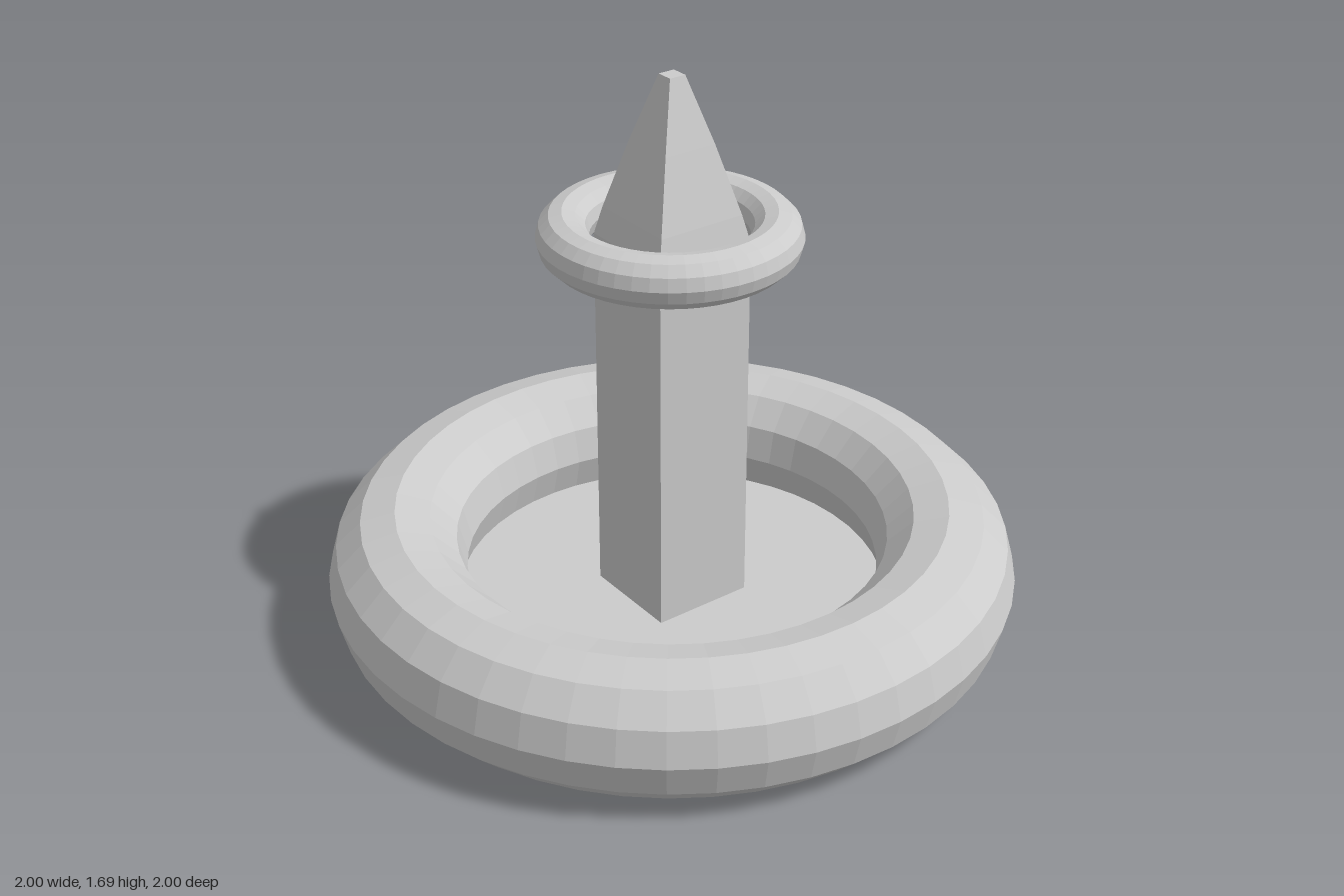
import * as THREE from 'three';

const material = new THREE.MeshStandardMaterial({ color: 0xcccccc, flatShading: true });
const sheetMaterial = new THREE.MeshStandardMaterial({ color: 0xcccccc, flatShading: true, side: THREE.DoubleSide });

function addPart(group, name, geometry, y, mat = material) {
  const mesh = new THREE.Mesh(geometry, mat);
  mesh.name = name;
  mesh.position.y = y;
  group.add(mesh);
  return mesh;
}

// Horizontal ring, tube a quarter of the main radius
function ringGeometry(radius) {
  return new THREE.TorusGeometry(radius, radius / 4, 12, 48).rotateX(Math.PI / 2);
}

// Square, slightly bulging spike: profile of [half width, height], revolved in four steps
function spikeGeometry(profile) {
  const points = profile.map(([half, y]) => new THREE.Vector2(half * Math.SQRT2, y));
  return new THREE.LatheGeometry(points, 4, Math.PI / 4);
}

export function createModel() {
  const model = new THREE.Group();
  model.name = 'ringPostBasin';

  // Base: fat ring closed by a thin floor
  addPart(model, 'baseRing', ringGeometry(0.8), 0.2);
  addPart(model, 'basinFloor', new THREE.CircleGeometry(0.64, 48).rotateX(-Math.PI / 2), 0.1, sheetMaterial);

  // Square post, standing on the floor
  const postTop = 1.22;
  const postBottom = 0.1;
  addPart(model, 'post', new THREE.BoxGeometry(0.305, postTop - postBottom, 0.305), (postTop + postBottom) / 2);

  // Tapered tip with a small flat end
  addPart(model, 'spike', spikeGeometry([[0.1525, 1.22], [0.135, 1.3], [0.082, 1.5], [0.025, 1.69], [0, 1.69]]), 0);

  // Small collar ring around the top of the post
  const collar = addPart(model, 'collarRing', ringGeometry(0.294), 1.233);
  collar.position.z = 0.006;

  return model;
}
